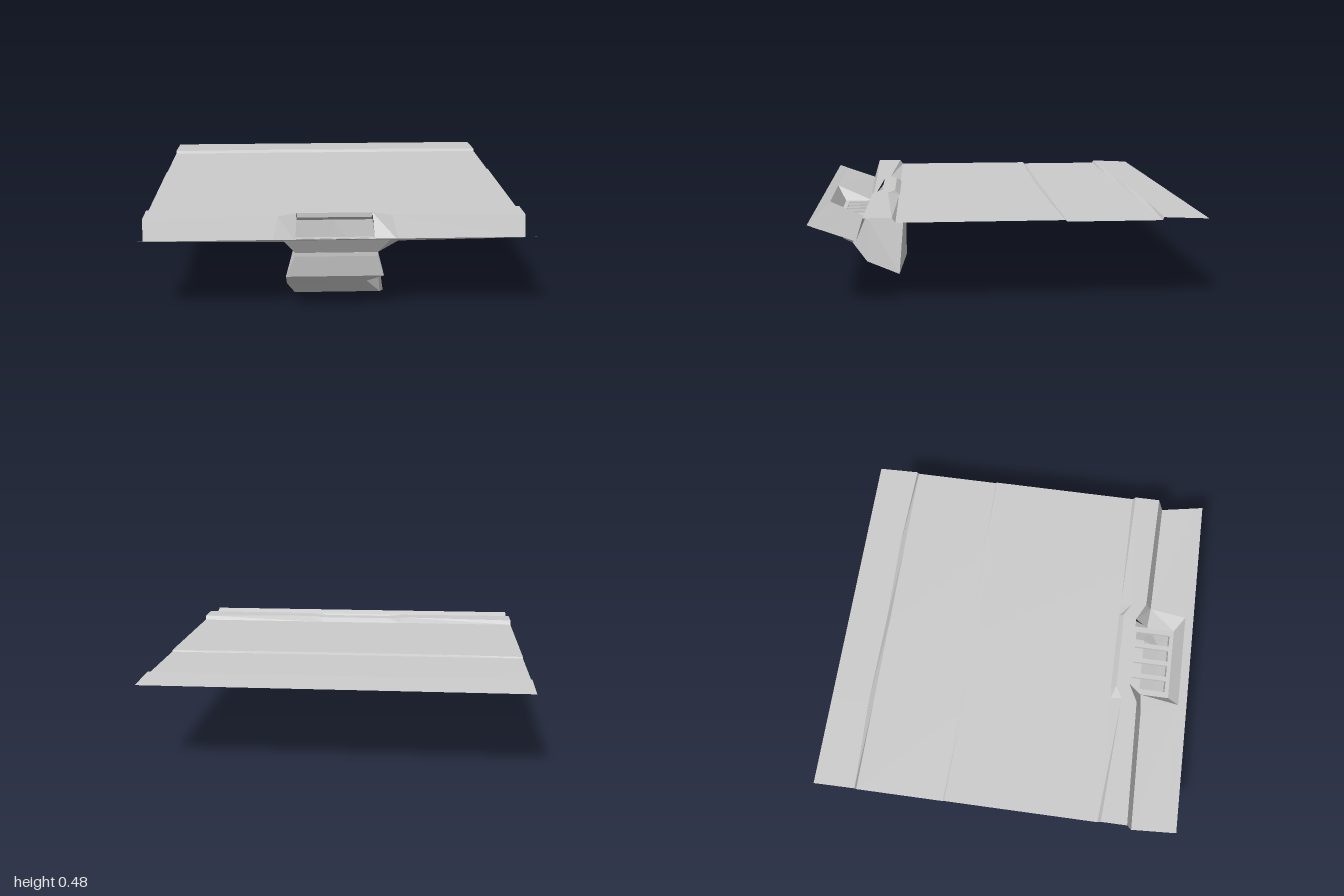
import * as THREE from 'three';

const material = new THREE.MeshStandardMaterial({ color: 0xcccccc, flatShading: true, side: THREE.DoubleSide });

// Joins rows of [x, y, z] points into a faceted sheet
function sheet(name, rows) {
  const n = rows[0].length, index = [];
  for (let r = 0; r < rows.length - 1; r++) {
    for (let c = 0; c < n - 1; c++) {
      const a = r * n + c, b = a + n;
      index.push(a, b, b + 1, a, b + 1, a + 1);
    }
  }
  const geometry = new THREE.BufferGeometry();
  geometry.setAttribute('position', new THREE.Float32BufferAttribute(rows.flat(2), 3));
  geometry.setIndex(index);
  const flat = geometry.toNonIndexed();
  flat.computeVertexNormals();
  const mesh = new THREE.Mesh(flat, material);
  mesh.name = name;
  return mesh;
}

// Row at constant height from [x, z] pairs
const level = (y, pairs) => pairs.map(([x, z]) => [x, y, z]);
// Completes a row given from x = -1 inwards with its mirror image
const mirrored = (half) => [...half, ...half.slice().reverse().map(([x, y, z]) => [-x, y, z])];

// Verge, shallow strip and pavement behind the kerb
function pavement() {
  const group = new THREE.Group();
  group.name = 'pavement';
  const xs = [-1, -0.5, 0, 0.5, 1];
  const row = (y, zs) => level(y, xs.map((x, i) => [x, zs[i]]));
  const even = (z) => xs.map(() => z);
  group.add(sheet('verge', [
    row(0.452, even(-1)),
    row(0.462, [-0.77, -0.787, -0.778, -0.787, -0.77]),
    row(0.447, even(-0.762)),
  ]));
  group.add(sheet('plantingStrip', [row(0.447, even(-0.762)), row(0.447, even(-0.28))]));
  group.add(sheet('walkway', [
    row(0.447, even(-0.28)),
    row(0.455, [-0.272, -0.258, -0.253, -0.258, -0.272]),
    row(0.455, even(0.57)),
  ]));
  return group;
}

// Raised kerb that steps back around the drain
function kerb() {
  const group = new THREE.Group();
  group.name = 'kerb';
  const topFront = [[-1, 0.48, 0.73], [-0.3, 0.48, 0.715], [-0.2, 0.48, 0.665]];
  group.add(sheet('kerbTop', [
    mirrored([[-1, 0.455, 0.57], [-0.29, 0.455, 0.57], [-0.22, 0.455, 0.565]]),
    mirrored([[-1, 0.48, 0.587], [-0.29, 0.48, 0.63], [-0.22, 0.48, 0.592]]),
    mirrored(topFront),
  ]));
  const foot = [[-1, 0.365, 0.765], [-0.33, 0.352, 0.755], [-0.21, 0.345, 0.745]];
  for (const s of [1, -1]) {
    const side = (row) => row.map(([x, y, z]) => [x * s, y, z]);
    group.add(sheet('kerbFace', s > 0 ? [topFront, foot] : [side(foot), side(topFront)]));
  }
  // Lip over the inlet opening
  group.add(sheet('inletLip', [
    [[-0.2, 0.48, 0.665], [0.2, 0.48, 0.665]],
    [[-0.2, 0.455, 0.665], [0.2, 0.455, 0.665]],
  ]));
  return group;
}

// Road edge falling to the gutter and dipping to the grate
function gutter() {
  const group = new THREE.Group();
  group.name = 'gutter';
  for (const s of [-1, 1]) {
    const cols = [
      [[s, 0.365, 0.765], [s, 0.433, 0.955]],
      [[s * 0.33, 0.352, 0.755], [s * 0.27, 0.43, 0.955]],
    ];
    if (s > 0) cols.reverse();
    group.add(sheet('gutterSlope', [0, 1].map((r) => cols.map((c) => c[r]))));
  }
  group.add(sheet('roadEdge', [
    mirrored([[-1, 0.433, 0.955], [-0.27, 0.43, 0.955]]),
    mirrored([[-1, 0.45, 1], [-0.27, 0.45, 1]]),
  ]));
  group.add(sheet('drainApron', [
    mirrored([[-0.21, 0.345, 0.745], [-0.21, 0.345, 0.905]]),
    mirrored([[-0.33, 0.352, 0.755], [-0.27, 0.43, 0.955]]),
  ]));
  return group;
}

// Slotted drain cover
function grate() {
  const rect = (path, x0, x1, z0, z1) => {
    path.moveTo(x0, z0);
    path.lineTo(x1, z0);
    path.lineTo(x1, z1);
    path.lineTo(x0, z1);
    path.closePath();
    return path;
  };
  const shape = rect(new THREE.Shape(), -0.21, 0.21, 0.668, 0.906);
  for (let i = 0; i < 4; i++) {
    const x = -0.142 + i * 0.095;
    shape.holes.push(rect(new THREE.Path(), x - 0.034, x + 0.034, 0.685, 0.882));
  }
  const geometry = new THREE.ExtrudeGeometry(shape, { depth: 0.02, bevelEnabled: false });
  geometry.rotateX(Math.PI / 2);
  const mesh = new THREE.Mesh(geometry, material);
  mesh.position.y = 0.345;
  mesh.name = 'drainGrate';
  return mesh;
}

// Crooked, open-topped basin hanging below the grate
function basin() {
  const group = new THREE.Group();
  group.name = 'catchBasin';
  const right = [
    [-0.2, 0.455, 0.665], [-0.21, 0.4, 0.54], [-0.22, 0, 0.54], [-0.215, 0.07, 0.76],
    [-0.255, 0.15, 0.83], [-0.26, 0.21, 0.89], [-0.21, 0.335, 0.906],
  ];
  const left = [
    [0.2, 0.455, 0.665], [0.21, 0.4, 0.54], [0.27, 0, 0.575], [0.235, 0.07, 0.76],
    [0.16, 0.165, 0.845], [0.245, 0.21, 0.89], [0.21, 0.335, 0.906],
  ];
  const middle = right.map((p, i) => p.map((v, k) => (v + left[i][k]) / 2));
  group.add(sheet('basinShell', [right, middle, left]));
  // Side walls fan out from a point beside the grate
  group.add(sheet('basinRightWall', [right.map(() => [-0.215, 0.335, 0.76]), right]));
  group.add(sheet('basinLeftWall', [left, left.map(() => [0.215, 0.335, 0.76])]));
  return group;
}

export function createModel() {
  const model = new THREE.Group();
  model.name = 'streetDrain';
  model.add(pavement(), kerb(), gutter(), grate(), basin());
  return model;
}
